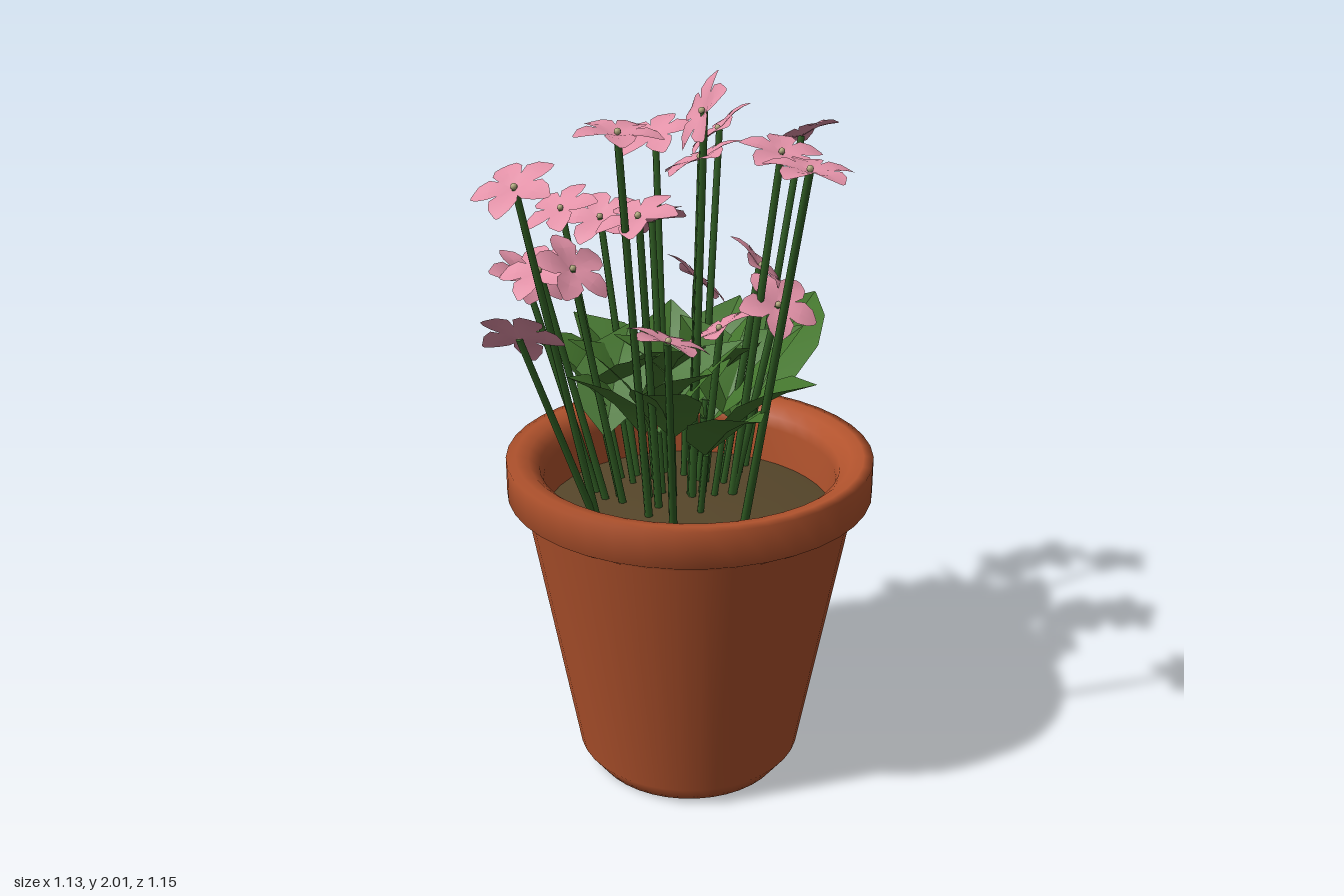
import * as THREE from 'three';
import { toCreasedNormals } from 'three/addons/utils/BufferGeometryUtils.js';

const V = (x, y, z) => new THREE.Vector3(x, y, z);
const UP = V(0, 1, 0);
const mat = (name, color, side = THREE.FrontSide) => {
  const m = new THREE.MeshStandardMaterial({ color, side });
  m.name = name;
  return m;
};

// Folded blade along +z: rows are [distance, half width, ridge height], edges lifted by fold
function bladeGeometry(rows, fold) {
  const pos = [], index = [];
  for (const [z, w, y] of rows) pos.push(-w, y + w * fold, z, 0, y, z, w, y + w * fold, z);
  for (let i = 0; i < rows.length - 1; i++) {
    for (let j = 0; j < 2; j++) {
      const a = i * 3 + j, b = a + 1, c = a + 3, d = a + 4;
      index.push(a, c, b, b, c, d);
    }
  }
  const g = new THREE.BufferGeometry();
  g.setAttribute('position', new THREE.Float32BufferAttribute(pos, 3));
  g.setIndex(index);
  return toCreasedNormals(g, 0.35);
}

// Straight stalk between two points
function stalk(a, b, r, material, name) {
  const mesh = new THREE.Mesh(new THREE.CylinderGeometry(r * 0.85, r, a.distanceTo(b), 6), material);
  mesh.position.copy(a).lerp(b, 0.5);
  mesh.quaternion.setFromUnitVectors(UP, b.clone().sub(a).normalize());
  mesh.name = name;
  return mesh;
}

export function createModel() {
  const model = new THREE.Group();
  model.name = 'pottedFlowers';
  const clay = mat('terracotta', 0xb2532d);
  const earth = mat('soil', 0x56462a);
  const green = mat('leafGreen', 0x43742d, THREE.DoubleSide);
  const stemGreen = mat('stemGreen', 0x2e5a22);
  const pink = mat('petalPink', 0xe291a7, THREE.DoubleSide);
  const cream = mat('flowerCentre', 0xb5ab80);

  // Softly shaded pot with a thick rounded rim, hollow above the soil
  const profile = [
    [0, 0], [0.28, 0], [0.325, 0.06], [0.462, 0.83], [0.512, 0.862], [0.512, 0.965],
    [0.485, 0.968], [0.45, 0.96], [0.42, 0.935], [0.41, 0.9], [0.405, 0.74],
  ].map(([r, y]) => new THREE.Vector2(r, y));
  const pot = new THREE.Mesh(new THREE.LatheGeometry(profile, 40), clay);
  pot.name = 'pot';
  pot.position.set(0.022, 0, 0.048);
  model.add(pot);

  // Gently mounded soil
  const mound = [[0.415, 0.79], [0.25, 0.81], [0, 0.82]].map(([r, y]) => new THREE.Vector2(r, y));
  const soil = new THREE.Mesh(new THREE.LatheGeometry(mound, 32), earth);
  soil.name = 'soil';
  soil.position.copy(pot.position);
  model.add(soil);

  // Flowers: centre x, y, z and sideways lean of the bloom in x and z
  const flowers = [
    [0.21, 1.84, 0.46, 0.1, 0.05], [-0.2, 1.895, 0.195, 0.05, 0.08],
    [-0.455, 1.77, 0.18, -0.4, 0.3], [-0.46, 1.38, 0.18, 0.4, -1],
    [-0.13, 1.66, 0.11, -0.35, 0.1], [-0.1, 1.38, 0.3, 0.35, -0.1],
    [-0.29, 1.5, 0, 0.5, 0.7], [-0.365, 1.48, -0.07, -0.4, 0.3],
    [-0.39, 1.43, -0.18, 0.5, 0.4], [0.06, 1.91, 0.04, -2, 0],
    [0.06, 1.78, 0.01, -0.4, -0.2], [0.12, 1.3, 0, -0.5, -0.3],
    [0.27, 1.79, 0.04, 0.1, 0.25], [0.27, 1.37, 0.04, 0.2, 0.8],
    [0.27, 1.43, -0.14, 1, 0.2], [0.23, 1.76, -0.44, -0.8, -0.3],
    [0.17, 1.3, -0.47, 1, -0.2], [0.45, 1.75, -0.345, -0.3, -0.5],
    [-0.26, 1.58, -0.325, -0.5, 0.2], [-0.15, 1.55, -0.32, -0.3, 0.4],
    [0.03, 1.76, -0.4, -0.4, 0.2], [0, 1.53, -0.32, -0.2, -0.6],
  ];
  const petalGeo = bladeGeometry(
    [[0.003, 0.008, 0], [0.032, 0.026, 0.006], [0.066, 0.04, 0.009], [0.095, 0.03, 0.006], [0.117, 0.006, 0]], 0.15);
  const centreGeo = new THREE.SphereGeometry(0.009, 8, 6);
  flowers.forEach(([x, y, z, nx, nz], i) => {
    const top = V(x, y, z);
    model.add(stalk(V(x * 0.55, 0.79, z * 0.55 + 0.01), top, 0.012, stemGreen, 'flowerStem'));
    const bloom = new THREE.Group();
    bloom.name = 'bloom';
    for (let k = 0; k < 5; k++) {
      const petal = new THREE.Mesh(petalGeo, pink);
      petal.name = 'petal';
      petal.rotation.y = (k / 5) * Math.PI * 2 + 0.43 + i * 0.73;
      bloom.add(petal);
    }
    const centre = new THREE.Mesh(centreGeo, cream);
    centre.name = 'flowerCentre';
    centre.position.y = 0.008;
    bloom.add(centre);
    bloom.position.copy(top);
    bloom.quaternion.setFromUnitVectors(UP, V(nx, 1, nz).normalize());
    model.add(bloom);
  });

  // Leaves: blade start x, z, then tip x, y, z
  const leaves = [
    [0.26, -0.14, 0.53, 1.255, -0.41], [0.14, -0.24, 0.3, 1.25, -0.44],
    [0.04, 0.16, 0.11, 1.2, 0.44], [0.12, 0.04, 0.33, 1.2, 0.22],
    [-0.13, -0.14, -0.39, 1.25, -0.27], [-0.05, -0.15, -0.22, 1.25, -0.4],
    [-0.1, 0.0, -0.32, 1.22, 0.06], [0.02, -0.2, 0.08, 1.26, -0.42],
    [0.12, -0.08, 0.42, 1.23, -0.18], [-0.02, 0.02, -0.14, 1.22, 0.24],
    [0.1, -0.1, -0.14, 1.24, -0.2], [-0.05, -0.02, 0.2, 1.25, -0.04],
    [0, -0.24, 0.02, 1.26, 0.04], [-0.16, -0.2, -0.05, 1.24, 0.0],
    [0.16, -0.26, 0.22, 1.24, 0.0], [-0.05, -0.1, -0.28, 1.25, -0.16],
    [0.18, -0.06, 0.08, 1.25, -0.3], [-0.06, -0.06, 0.06, 1.23, 0.15],
    [-0.2, -0.04, -0.08, 1.25, -0.26], [0.06, -0.16, 0.28, 1.25, -0.26],
  ];
  const leafGeo = bladeGeometry(
    [[0, 0.02, 0], [0.18, 0.22, 0.03], [0.45, 0.31, 0.07], [0.72, 0.23, 0.06], [1, 0.005, 0]], 0.35);
  for (const [bx, bz, tx, ty, tz] of leaves) {
    const base = V(bx, 1.0, bz), tip = V(tx, ty, tz);
    model.add(stalk(V(bx * 0.8, 0.79, bz * 0.8), base, 0.01, stemGreen, 'leafStalk'));
    const leaf = new THREE.Mesh(leafGeo, green);
    leaf.name = 'leaf';
    leaf.position.copy(base);
    leaf.lookAt(tip);
    leaf.scale.setScalar(base.distanceTo(tip));
    model.add(leaf);
  }
  return model;
}
